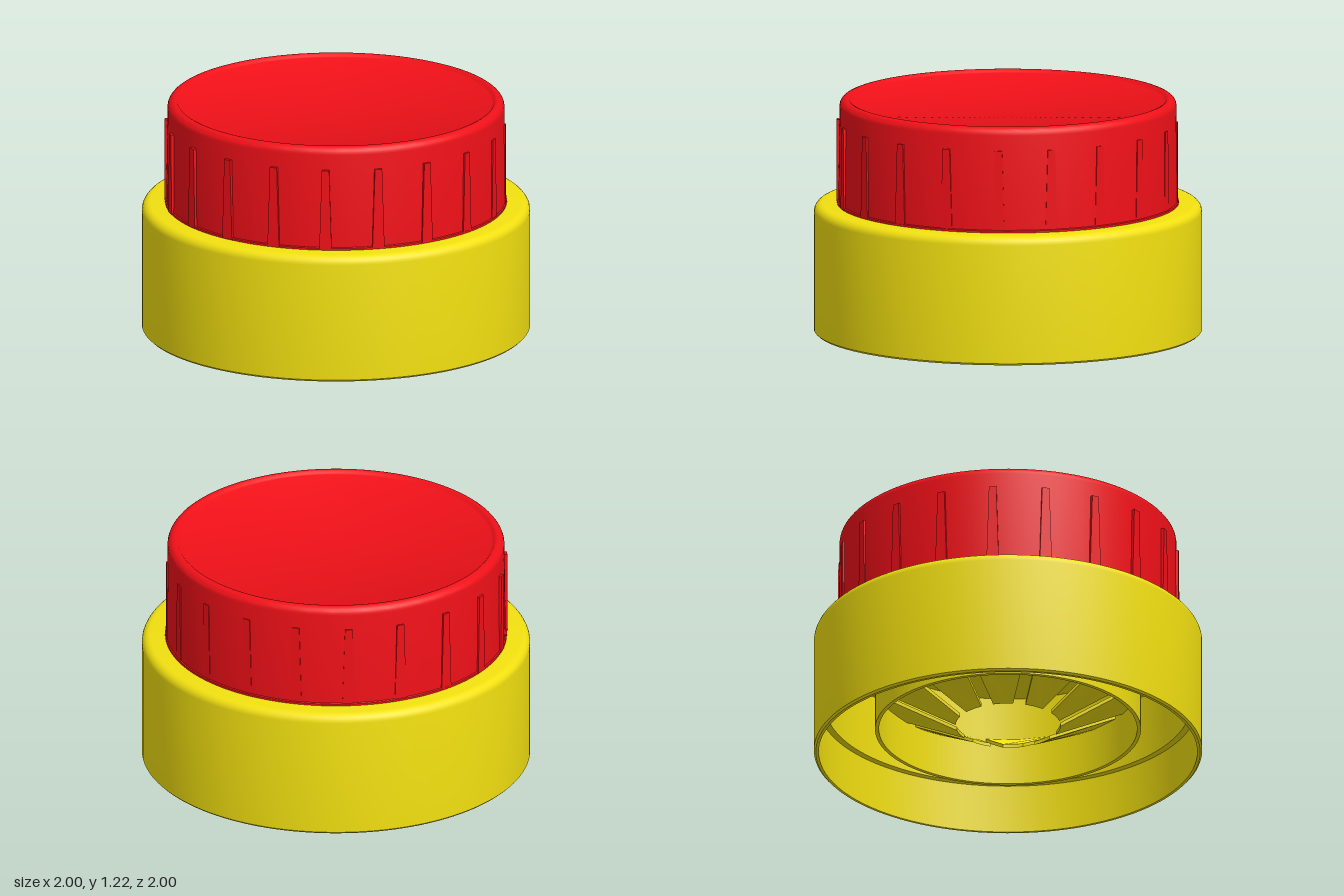
import * as THREE from 'three';
import { toCreasedNormals } from 'three/addons/utils/BufferGeometryUtils.js';

const yellow = new THREE.MeshStandardMaterial({ color: 0xf2e010 });
const red = new THREE.MeshStandardMaterial({ color: 0xf01018 });

function addMesh(parent, name, geometry, material) {
  const mesh = new THREE.Mesh(geometry, material);
  mesh.name = name;
  parent.add(mesh);
  return mesh;
}

// Quarter-round corner points from angle 0 (outside) to 90 degrees (top)
function fillet(cx, cy, r, steps = 6) {
  return Array.from({ length: steps + 1 }, (_, i) => {
    const a = (i / steps) * Math.PI / 2;
    return [cx + r * Math.cos(a), cy + r * Math.sin(a)];
  });
}

function turned(profile) {
  const points = profile.map(([x, y]) => new THREE.Vector2(x, y));
  return toCreasedNormals(new THREE.LatheGeometry(points, 128), 0.6);
}

// One flap of the inner cone: a ring sector with parallel slot edges, sloped down towards the axis
function flapGeometry(inner, outer, halfSlot, thickness) {
  const shape = new THREE.Shape();
  const limit = r => Math.PI / 10 - Math.asin(halfSlot / r);
  const arc = (r, from, to) => Array.from({ length: 9 }, (_, i) => {
    const a = from + (to - from) * i / 8;
    return new THREE.Vector2(r * Math.sin(a), r * Math.cos(a));
  });
  shape.setFromPoints([
    ...arc(outer, -limit(outer), limit(outer)),
    ...arc(inner, limit(inner), -limit(inner)),
  ]);
  const geometry = new THREE.ExtrudeGeometry(shape, { depth: thickness, bevelEnabled: false });
  geometry.rotateX(-Math.PI / 2);
  const p = geometry.attributes.position;
  for (let i = 0; i < p.count; i++) {
    const r = Math.hypot(p.getX(i), p.getZ(i));
    p.setY(i, p.getY(i) + 0.15 + 0.53 * (r - inner));
  }
  return toCreasedNormals(geometry, 0.5);
}

export function createModel() {
  const model = new THREE.Group();
  model.name = 'screwCap';

  // Hollow base: inner tube, ceiling, stepped outer wall and rounded shoulder
  addMesh(model, 'base', turned([
    [0, 0.61], [0.665, 0.61], [0.665, 0.13], [0.685, 0.13], [0.685, 0.61],
    [0.94, 0.61], [0.94, 0.26], [0.975, 0.26], [0.975, 0],
    [0.99, 0], [1, 0.01], ...fillet(0.955, 0.627, 0.045), [0, 0.672],
  ]), yellow);

  // Ten flaps inside the tube
  const flaps = new THREE.Group();
  flaps.name = 'innerFlaps';
  model.add(flaps);
  const flap = flapGeometry(0.27, 0.675, 0.033, 0.02);
  for (let i = 0; i < 10; i++) {
    addMesh(flaps, 'flap', flap, yellow).rotation.y = (i + 0.5) * Math.PI / 5;
  }

  // Lid with a small foot, rounded rim and shallow recessed top
  addMesh(model, 'lid', turned([
    [0.88, 0.66], [0.88, 0.682], [0.874, 0.686],
    ...fillet(0.828, 1.18, 0.04),
    [0.819, 1.217], [0.811, 1.208], [0.802, 1.203], [0, 1.203],
  ]), red);

  // Twenty tapered grip ribs, set slightly towards the front right
  const ribs = new THREE.Group();
  ribs.name = 'gripRibs';
  ribs.position.set(-0.004, 0, 0.004);
  model.add(ribs);
  const outline = new THREE.Shape([
    [-0.032, 0.675], [0.032, 0.675], [0.019, 1.1], [-0.019, 1.1],
  ].map(([x, y]) => new THREE.Vector2(x, y)));
  const rib = new THREE.ExtrudeGeometry(outline, { depth: 0.04, bevelEnabled: false });
  rib.translate(0, 0, 0.84);
  for (let i = 0; i < 20; i++) {
    addMesh(ribs, 'rib', rib, red).rotation.y = i * Math.PI / 10;
  }
  return model;
}
